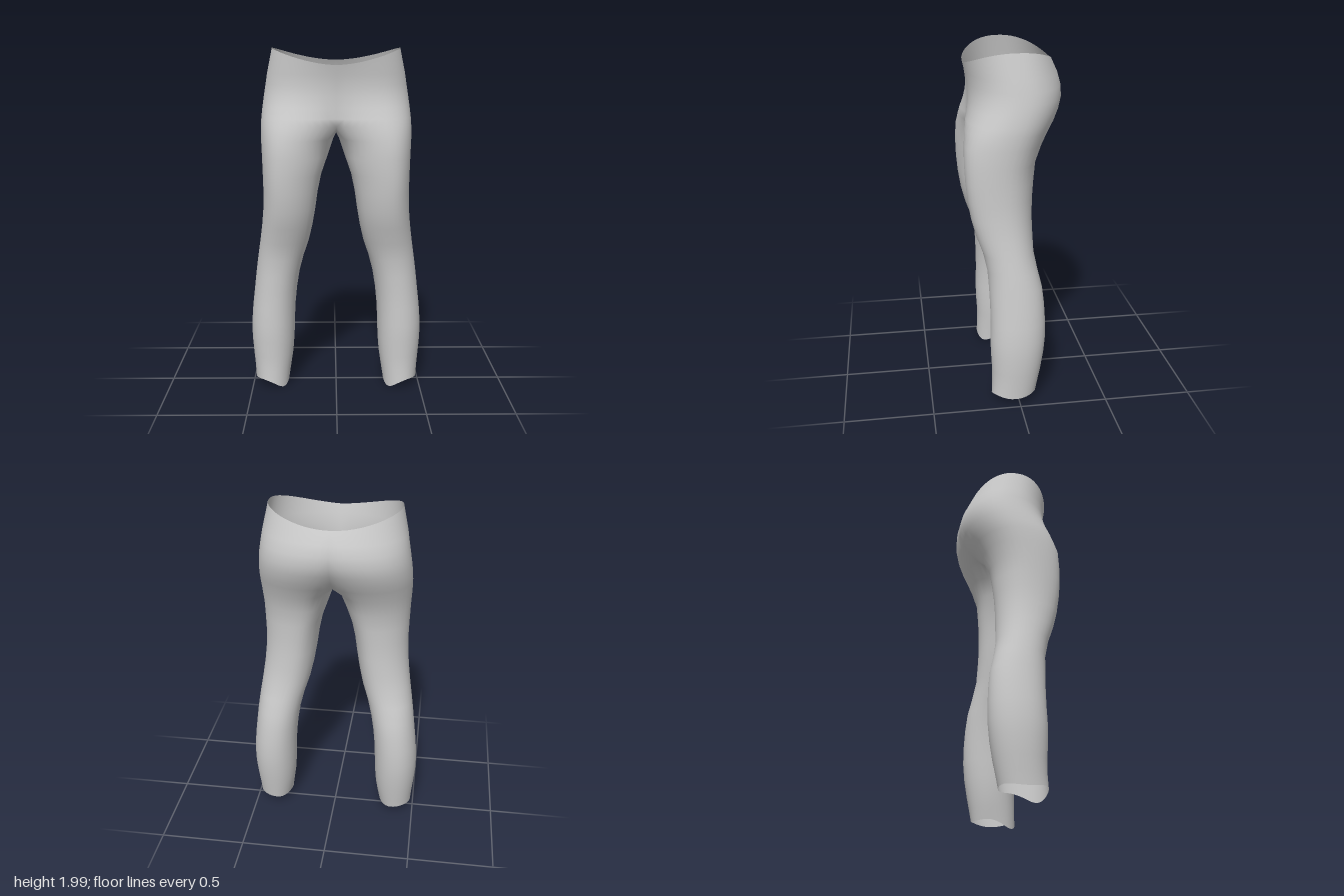
import * as THREE from 'three';
import { mergeVertices } from 'three/addons/utils/BufferGeometryUtils.js';

const OUTER = 28;   // steps from front centre round the outside to back centre
const INNER = 10;   // steps along the inside of the leg
const rad = THREE.MathUtils.degToRad;
const spow = (v, e) => Math.sign(v) * Math.abs(v) ** e;

// Hip rows: y, half width, front z, back z, how far the row divides into two thighs
const HIPS = [
  [1.86, 0.392, 0.243, -0.262, 0.0],
  [1.80, 0.402, 0.238, -0.280, 0.06],
  [1.74, 0.412, 0.242, -0.284, 0.14],
  [1.68, 0.420, 0.254, -0.268, 0.28],
  [1.62, 0.426, 0.270, -0.238, 0.48],
  [1.575, 0.428, 0.277, -0.208, 0.66],
];

// Leg rows: y, outer x, inner x, front z, back z, outward turn of the thigh
const LEGS = [
  [1.50, 0.427, 0.016, 0.277, -0.155, 0.03],
  [1.40, 0.422, 0.050, 0.280, -0.117, 0.03],
  [1.30, 0.419, 0.085, 0.276, -0.105, 0.03],
  [1.20, 0.417, 0.106, 0.266, -0.096, 0.025],
  [1.10, 0.420, 0.120, 0.250, -0.092, 0.02],
  [1.00, 0.430, 0.137, 0.224, -0.094, 0.015],
  [0.90, 0.444, 0.160, 0.188, -0.097, 0.01],
  [0.80, 0.460, 0.193, 0.166, -0.115, 0],
  [0.70, 0.474, 0.218, 0.160, -0.139, 0],
  [0.60, 0.486, 0.234, 0.156, -0.150, 0],
  [0.50, 0.498, 0.244, 0.155, -0.155, 0],
  [0.40, 0.506, 0.249, 0.158, -0.155, 0],
  [0.30, 0.506, 0.252, 0.156, -0.146, 0],
  [0.20, 0.498, 0.260, 0.150, -0.130, 0],
  [0.12, 0.490, 0.272, 0.150, -0.114, 0],
  [0.06, 0.485, 0.284, 0.154, -0.102, 0],
];

// A point on a leg's oval section; angle 0 faces front, 90 faces outward
function legPoint([y, out, inn, front, back, turn], deg) {
  const s = Math.sin(rad(deg)), c = Math.cos(rad(deg));
  return [
    (out + inn) / 2 + (out - inn) / 2 * spow(s, 0.95) + turn * c * (1 - s * s),
    y,
    (front + back) / 2 + (front - back) / 2 * spow(c, 0.95),
  ];
}
const outerAngle = (j) => -50 + 280 * j / OUTER;

// Half of a hip section, from front centre to back centre
function hipRing([y, half, front, back, split]) {
  const ring = [];
  for (let j = 0; j <= OUTER; j++) {
    const a = Math.PI * j / OUTER, s = Math.sin(a), c = Math.cos(a);
    const x = half * spow(s, 0.92);
    const z = (front + back) / 2 + (front - back) / 2 * spow(c, 0.92);
    const thigh = legPoint([y, half, 0, front, back, 0.03], outerAngle(j));
    const edge = legPoint([y, half, 0, front, back, 0.03], outerAngle(j < OUTER / 2 ? 0 : OUTER));
    const tx = thigh[0] - edge[0] * Math.abs(c) ** 4;
    const atCentre = j === 0 || j === OUTER;
    ring.push([atCentre ? 0 : THREE.MathUtils.lerp(x, tx, split), y,
      THREE.MathUtils.lerp(z, thigh[2], split)]);
  }
  return ring;
}

// Waist edge, dipping at front and back centre
function waistRing() {
  const ring = hipRing([1.91, 0.361, 0.255, -0.226, 0]);
  ring.forEach((p, j) => {
    const s = Math.sin(Math.PI * j / OUTER);
    p[1] = 1.91 + 0.02 * j / OUTER + 0.08 * s ** 1.6;
  });
  return ring;
}

// Closed leg section
function legRing(row) {
  const ring = [];
  for (let j = 0; j <= OUTER; j++) ring.push(legPoint(row, outerAngle(j)));
  for (let k = 1; k < INNER; k++) ring.push(legPoint(row, 230 + 80 * k / INNER));
  return ring;
}

function trousersGeometry() {
  const pos = [];
  const tri = (a, b, c) => {
    pos.push(...a, ...b, ...c);
    // mirrored half
    for (const p of [a, c, b]) pos.push(-p[0], p[1], p[2]);
  };
  const strip = (top, low, closed) => {
    const n = top.length;
    for (let j = 0; j < (closed ? n : n - 1); j++) {
      const k = (j + 1) % n;
      tri(top[j], low[j], top[k]);
      tri(top[k], low[j], low[k]);
    }
  };

  // Waist and hips
  const hips = [waistRing(), ...HIPS.map(hipRing)];
  for (let i = 0; i + 1 < hips.length; i++) strip(hips[i], hips[i + 1], false);

  // Crotch seam joins back centre to front centre and closes the leg's top section
  const last = hips[hips.length - 1];
  const front = last[0], back = last[OUTER];
  const top = last.slice();
  for (let k = 1; k < INNER; k++) {
    const t = k / INNER;
    top.push([0, front[1] - 0.045 * Math.sin(Math.PI * t) ** 0.6,
      THREE.MathUtils.lerp(back[2], front[2], t)]);
  }

  // Legs, with an uneven hem hanging lowest at the inner front
  const legs = [top, ...LEGS.map(legRing)];
  const hem = legs[legs.length - 1];
  hem.forEach((p, j) => {
    const deg = j <= OUTER ? outerAngle(j) : 230 + 80 * (j - OUTER) / INNER;
    const d = Math.abs(((deg + 50 + 540) % 360) - 180);
    p[1] = 0.055 - 0.045 * Math.exp(-((d / 40) ** 2)) + 0.006 * Math.sin(rad(deg * 3));
  });
  for (let i = 0; i + 1 < legs.length; i++) strip(legs[i], legs[i + 1], true);

  const raw = new THREE.BufferGeometry();
  raw.setAttribute('position', new THREE.Float32BufferAttribute(pos, 3));
  const geometry = mergeVertices(raw, 1e-4);
  geometry.computeVertexNormals();
  return geometry;
}

export function createModel() {
  const fabric = new THREE.MeshStandardMaterial({ color: 0xcccccc, side: THREE.DoubleSide });
  fabric.name = 'light grey fabric';
  const trousers = new THREE.Mesh(trousersGeometry(), fabric);
  trousers.name = 'trousers';
  const group = new THREE.Group();
  group.name = 'trousersModel';
  group.add(trousers);
  return group;
}
